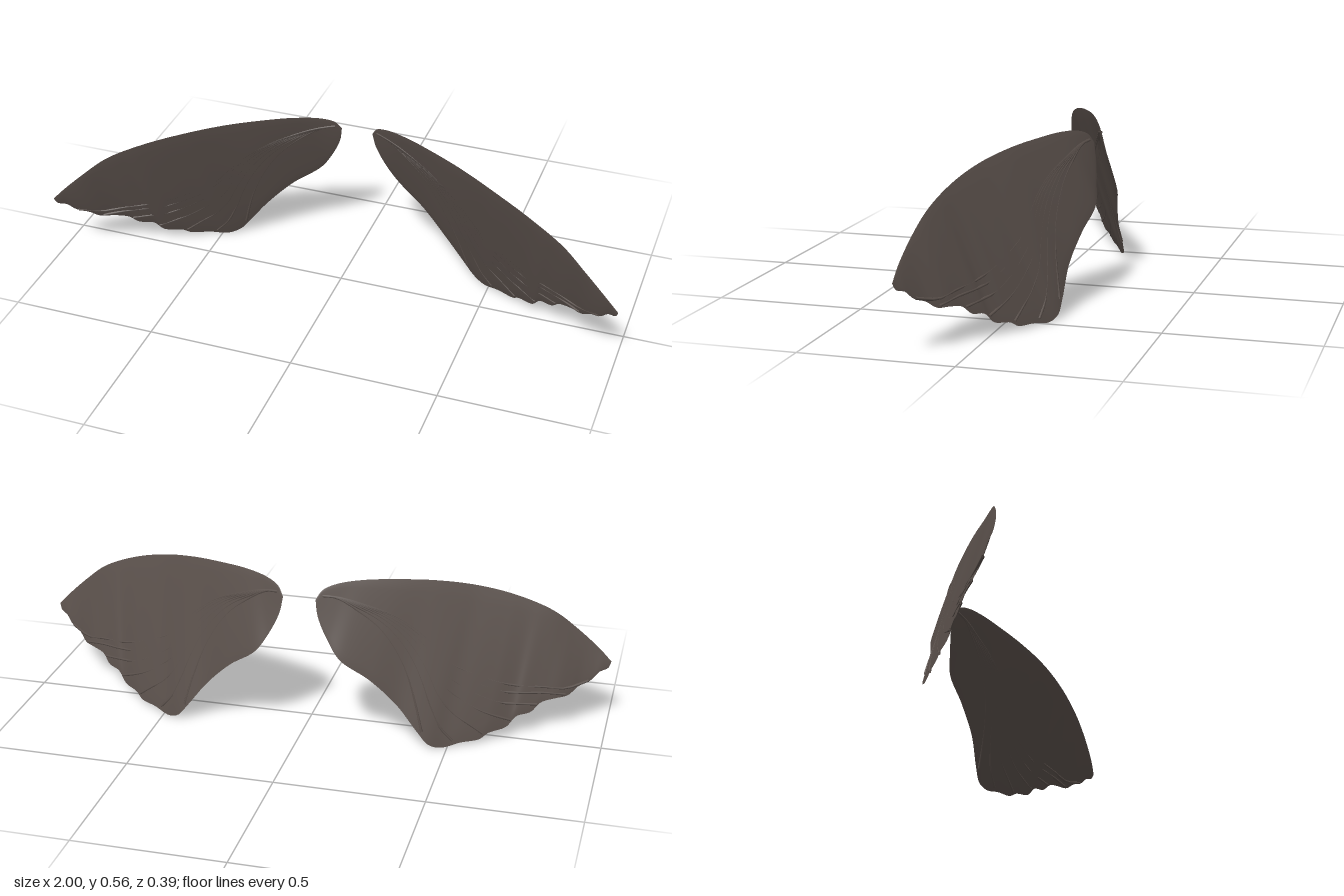
import * as THREE from 'three';

const V = (p) => new THREE.Vector3(...p);
const edge = (pts) => new THREE.CatmullRomCurve3(pts.map(V), false, 'centripetal');

// Leading (upper) edge of the left wing, root to tip
const leading = edge([
  [0.055, 0.51, -0.165], [0.075, 0.54, -0.15], [0.12, 0.558, -0.127], [0.2, 0.565, -0.09],
  [0.3, 0.56, -0.045], [0.42, 0.547, 0.01], [0.55, 0.52, 0.068], [0.68, 0.478, 0.115],
  [0.8, 0.42, 0.15], [0.88, 0.355, 0.172], [0.96, 0.28, 0.187], [1, 0.237, 0.19],
]);

// Trailing (lower) edge with its scalloped margin, root to tip
const trailing = edge([
  [0.055, 0.51, -0.165], [0.065, 0.455, -0.175], [0.1, 0.38, -0.186], [0.145, 0.315, -0.195],
  [0.24, 0.245, -0.174], [0.33, 0.155, -0.155], [0.4, 0.065, -0.154], [0.44, 0.018, -0.15],
  [0.48, 0.003, -0.132], [0.54, 0.014, -0.1], [0.6, 0.019, -0.068], [0.625, 0.036, -0.05],
  [0.68, 0.049, -0.015], [0.71, 0.083, 0.005], [0.755, 0.093, 0.03], [0.785, 0.122, 0.052],
  [0.83, 0.132, 0.075], [0.87, 0.137, 0.1], [0.9, 0.162, 0.125], [0.94, 0.18, 0.148],
  [0.965, 0.206, 0.165], [0.992, 0.216, 0.182], [1, 0.237, 0.19],
]);

const NU = 120, NV = 20;
const facing = new THREE.Vector3(-0.36, -0.3, 0.88).normalize();

// Point on the membrane: u runs root to tip, v leading to trailing edge
function wingPoint(u, v, offset = 0) {
  return leading.getPointAt(u).lerp(trailing.getPointAt(u), v).addScaledVector(facing, offset);
}

// One skin of the thin lens-shaped membrane; face is 1 for front, -1 for back
function skinGeometry(face, side) {
  const pos = [], idx = [];
  for (let i = 0; i <= NU; i++) {
    for (let j = 0; j <= NV; j++) {
      const u = i / NU, v = j / NV;
      const swell = Math.sqrt(Math.max(0, Math.sin(Math.PI * u) * Math.sin(Math.PI * v)));
      const p = wingPoint(u, v, face * 0.005 * swell);
      pos.push(p.x * side, p.y, p.z);
    }
  }
  for (let i = 0; i < NU; i++) {
    for (let j = 0; j < NV; j++) {
      const a = i * (NV + 1) + j, b = a + NV + 1;
      if (face * side > 0) idx.push(a, a + 1, b, b, a + 1, b + 1);
      else idx.push(a, b, a + 1, b, b + 1, a + 1);
    }
  }
  const g = new THREE.BufferGeometry();
  g.setAttribute('position', new THREE.Float32BufferAttribute(pos, 3));
  g.setIndex(idx);
  g.computeVertexNormals();
  return g;
}

// Faint raised vein fanning from the root to the margin
function veinGeometry(uEnd, side) {
  const pts = [];
  for (let k = 0; k <= 12; k++) {
    const t = k / 12;
    const p = wingPoint(0.04 + (uEnd - 0.04) * t, 0.25 + 0.72 * Math.pow(t, 1.6));
    pts.push(new THREE.Vector3(p.x * side, p.y, p.z));
  }
  return new THREE.TubeGeometry(new THREE.CatmullRomCurve3(pts), 32, 0.005, 6);
}

export function createModel() {
  const model = new THREE.Group();
  model.name = 'wings';
  const membrane = new THREE.MeshStandardMaterial({ color: 0x5a504b });
  membrane.name = 'dusky brown';
  membrane.side = THREE.DoubleSide;

  for (const side of [1, -1]) {
    const wing = new THREE.Group();
    wing.name = side > 0 ? 'leftWing' : 'rightWing';
    const add = (geometry, name) => {
      const mesh = new THREE.Mesh(geometry, membrane);
      mesh.name = name;
      wing.add(mesh);
    };
    add(skinGeometry(1, side), 'frontMembrane');
    add(skinGeometry(-1, side), 'backMembrane');
    [0.44, 0.53, 0.61, 0.69, 0.77, 0.85, 0.92].forEach((u) => add(veinGeometry(u, side), 'vein'));
    model.add(wing);
  }
  return model;
}
